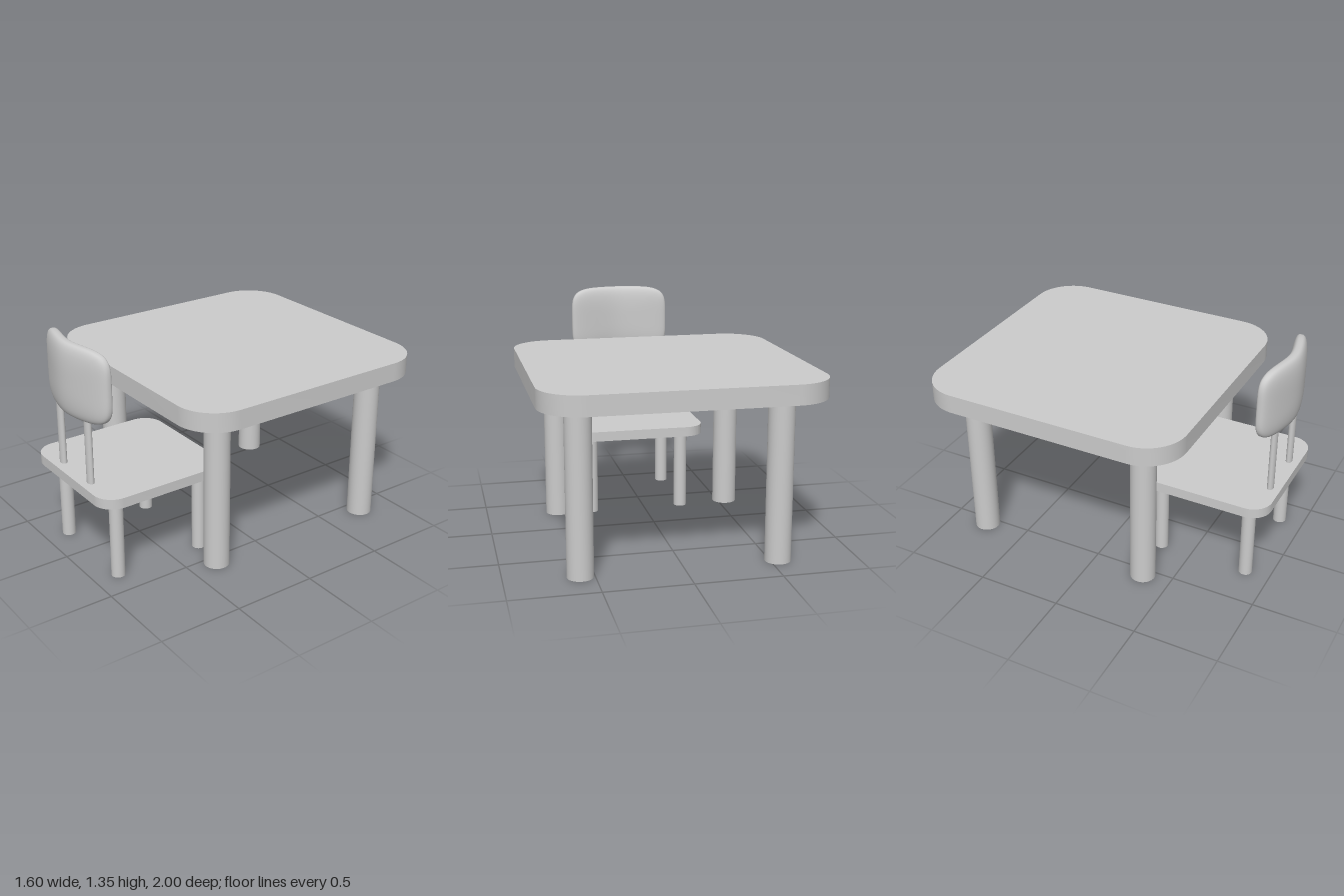
import * as THREE from 'three';
import { mergeVertices, toCreasedNormals } from 'three/addons/utils/BufferGeometryUtils.js';

const material = new THREE.MeshStandardMaterial({ color: 0xcccccc });

function addMesh(parent, name, geometry) {
  const mesh = new THREE.Mesh(geometry, material);
  mesh.name = name;
  parent.add(mesh);
  return mesh;
}

// Horizontal board with rounded corners, given by its extents
function board(x0, x1, y0, y1, z0, z1, r) {
  const w = (x1 - x0) / 2, d = (z1 - z0) / 2;
  const s = new THREE.Shape();
  s.absarc(w - r, d - r, r, 0, Math.PI / 2);
  s.absarc(r - w, d - r, r, Math.PI / 2, Math.PI);
  s.absarc(r - w, r - d, r, Math.PI, Math.PI * 1.5);
  s.absarc(w - r, r - d, r, Math.PI * 1.5, Math.PI * 2);
  const g = new THREE.ExtrudeGeometry(s, { depth: y1 - y0, bevelEnabled: false, curveSegments: 10 });
  g.rotateX(-Math.PI / 2).translate((x0 + x1) / 2, y0, (z0 + z1) / 2);
  return toCreasedNormals(g, Math.PI / 6);
}

// Upright round bar, optionally flattened in z
function bar(x, z, y0, y1, rx, rz = rx) {
  return new THREE.CylinderGeometry(1, 1, y1 - y0, 32)
    .scale(rx, 1, rz)
    .translate(x, (y0 + y1) / 2, z);
}

// Padded cushion: a cube inflated to a soft rounded slab, then bent around the sitter
function cushion(a, b, c) {
  let g = new THREE.BoxGeometry(2, 2, 2, 20, 20, 16);
  g.deleteAttribute('uv');
  g.deleteAttribute('normal');
  g = mergeVertices(g);
  const p = g.attributes.position;
  const n = 5, m = 3;
  for (let i = 0; i < p.count; i++) {
    const x = p.getX(i), y = p.getY(i), z = p.getZ(i);
    const outline = Math.pow(Math.abs(x) ** n + Math.abs(y) ** n, m / n);
    const k = Math.pow(outline + Math.abs(z) ** m, -1 / m);
    const px = x * k * a;
    const bend = 0.3 * (Math.hypot(px, 0.1) - 0.1);
    p.setXYZ(i, px, y * k * b, z * k * c - bend);
  }
  g.computeVertexNormals();
  return g;
}

export function createModel() {
  const model = new THREE.Group();
  model.name = 'tableAndChair';

  // Table
  const table = new THREE.Group();
  table.name = 'table';
  addMesh(table, 'tableTop', board(-0.8, 0.8, 0.95, 1.063, -1, 0.59, 0.24));
  for (const [x, z] of [[-0.545, 0.325], [0.555, 0.325], [-0.545, -0.765], [0.58, -0.765]]) {
    addMesh(table, 'tableLeg', bar(x, z, 0, 0.955, 0.075));
  }

  // Chair
  const chair = new THREE.Group();
  chair.name = 'chair';
  addMesh(chair, 'seat', board(-0.37, 0.45, 0.49, 0.55, 0.17, 0.985, 0.12));
  for (const [x, z] of [[-0.24, 0.85], [0.33, 0.85], [-0.24, 0.3], [0.34, 0.3]]) {
    addMesh(chair, 'chairLeg', bar(x, z, 0, 0.495, 0.04));
  }
  for (const x of [-0.117, 0.19]) {
    addMesh(chair, 'backPost', bar(x, 0.923, 0.545, 1, 0.028, 0.019));
  }
  addMesh(chair, 'backrest', cushion(0.318, 0.214, 0.05)).position.set(0.044, 1.135, 0.947);

  model.add(table, chair);
  return model;
}
